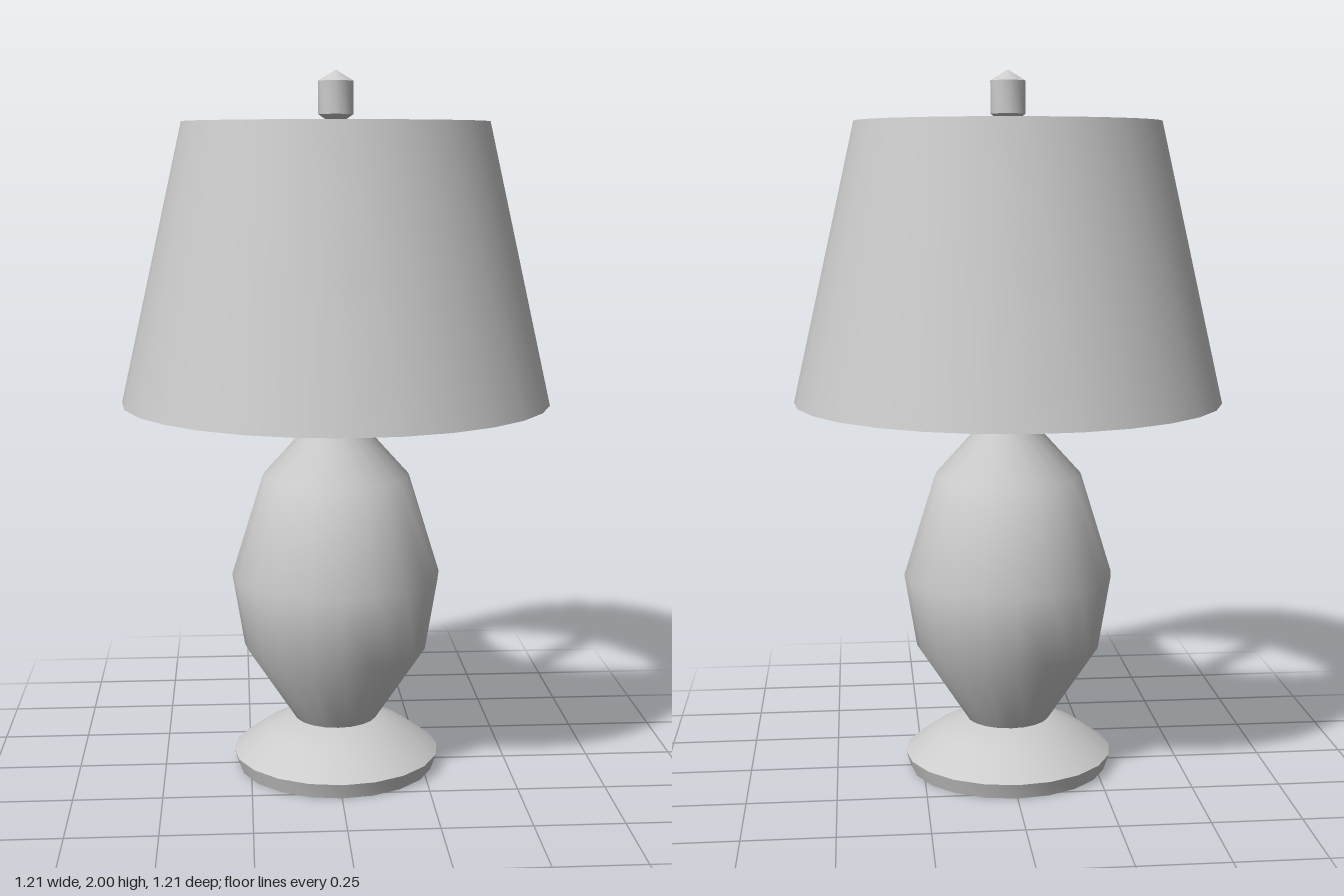
import * as THREE from 'three';
import { toCreasedNormals } from 'three/addons/utils/BufferGeometryUtils.js';

const grey = new THREE.MeshStandardMaterial({ color: 0xcccccc });
grey.name = 'plainGrey';

// Turned part from [radius, height] pairs, listed bottom to top on the outside
function turned(name, profile, sides) {
  const points = profile.map(([r, y]) => new THREE.Vector2(r, y));
  const geometry = toCreasedNormals(new THREE.LatheGeometry(points, sides), THREE.MathUtils.degToRad(40));
  const mesh = new THREE.Mesh(geometry, grey);
  mesh.name = name;
  return mesh;
}

export function createModel() {
  const lamp = new THREE.Group();
  lamp.name = 'tableLamp';
  lamp.add(
    // Round foot with a narrow undercut rim
    turned('foot', [[0, 0], [0.285, 0], [0.3, 0.045], [0.21, 0.11], [0.125, 0.145], [0, 0.145]], 20),
    // Vase-shaped body and neck
    turned('body', [[0, 0.14], [0.12, 0.145], [0.265, 0.365], [0.3, 0.575], [0.21, 0.865],
      [0.088, 1.0], [0.07, 1.08], [0, 1.08]], 20),
    // Rod that rises through the shade
    turned('stem', [[0, 1.07], [0.038, 1.07], [0.038, 1.865], [0, 1.865]], 12),
    // Knob on top of the rod
    turned('finial', [[0, 1.86], [0.02, 1.86], [0.049, 1.88], [0.049, 1.97], [0, 2.0]], 12),
    // Thin tapered shade, open at both ends
    turned('shade', [[0.605, 1.08], [0.427, 1.86], [0.412, 1.86], [0.59, 1.08], [0.605, 1.08]], 28),
  );
  return lamp;
}
